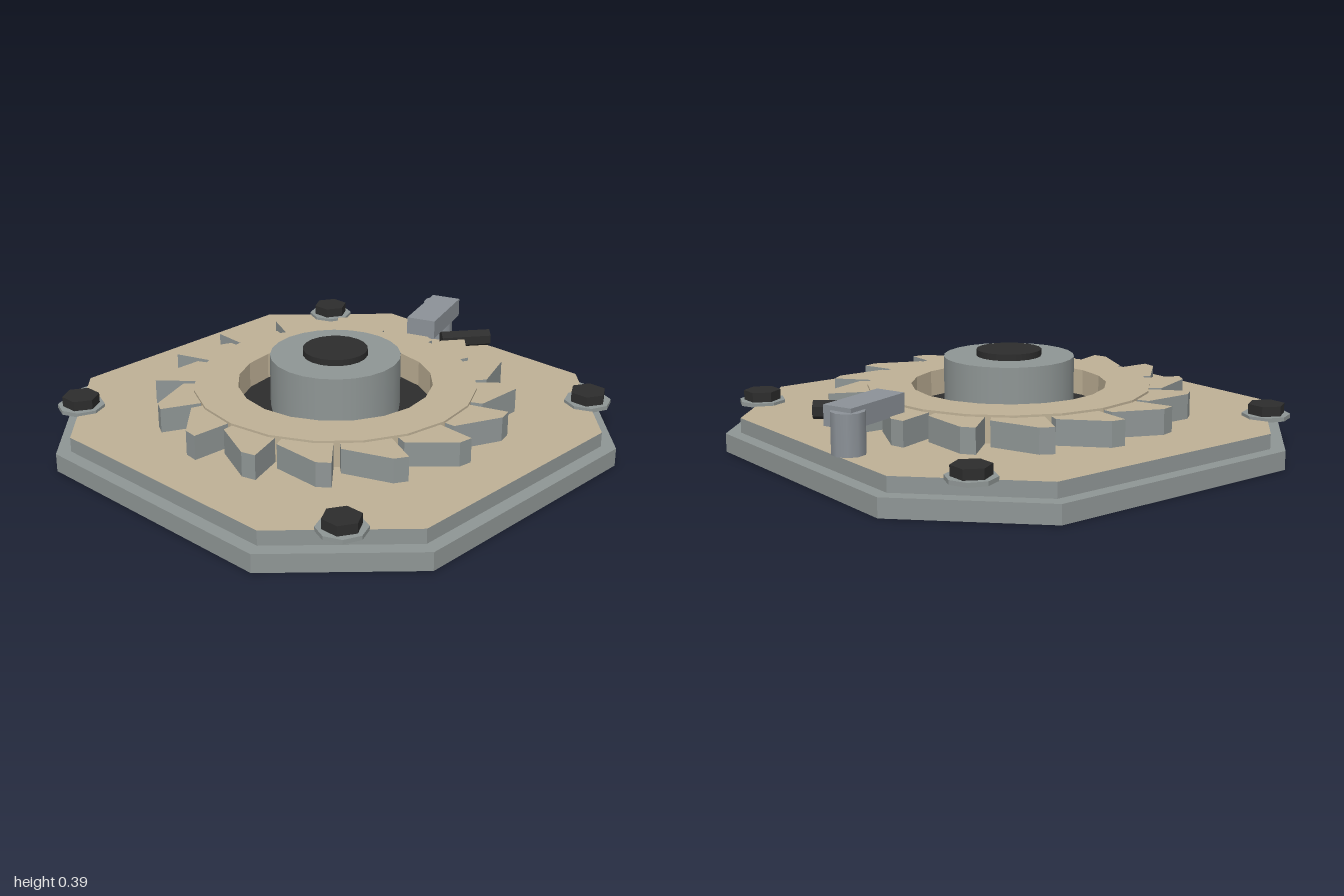
import * as THREE from 'three';

const material = (name, color) => {
  const m = new THREE.MeshStandardMaterial({ color });
  m.name = name;
  return m;
};

// Flat-sided polygon outline; points lie at (x, -z)
const ngon = (r, n) => Array.from({ length: n }, (_, i) => {
  const a = Math.PI / 2 + (i / n) * Math.PI * 2;
  return new THREE.Vector2(r * Math.cos(a), r * Math.sin(a));
});

// Square outline with cut corners
const cutSquare = (h, c) => [[h, -c], [h, c], [c, h], [-c, h], [-h, c], [-h, -c], [-c, -h], [c, -h]]
  .map(([x, y]) => new THREE.Vector2(x, y));

// Upright slab from an outline, between two heights
function slab(points, y0, y1, hole) {
  const shape = new THREE.Shape(points);
  if (hole) shape.holes.push(new THREE.Path(hole));
  return new THREE.ExtrudeGeometry(shape, { depth: y1 - y0, bevelEnabled: false })
    .rotateX(-Math.PI / 2).translate(0, y0, 0);
}

// Upright cylinder between two heights
const post = (r, n, y0, y1) =>
  new THREE.CylinderGeometry(r, r, y1 - y0, n).translate(0, (y0 + y1) / 2, 0);

function faceted(geometry) {
  const g = geometry.toNonIndexed();
  g.computeVertexNormals();
  return g;
}

export function createModel() {
  const model = new THREE.Group();
  model.name = 'ratchetPlate';

  const grey = material('steel grey', 0x8f9695);
  const blueGrey = material('pawl grey', 0x8c9298);
  const tan = material('sand tan', 0xbfb196);
  const dark = material('dark iron', 0x2d2d2d);

  const add = (name, geometry, mat, parent = model) => {
    const mesh = new THREE.Mesh(geometry, mat);
    mesh.name = name;
    parent.add(mesh);
    return mesh;
  };

  // Stepped base
  add('basePlate', slab(cutSquare(1, 0.555), 0, 0.075), grey);
  add('upperPlate', slab(cutSquare(0.945, 0.53), 0.075, 0.135), [tan, grey]);

  // Ratchet ring with sixteen separate teeth
  const wheel = new THREE.Group();
  wheel.name = 'ratchetWheel';
  model.add(wheel);
  add('ring', slab(ngon(0.577, 20), 0.135, 0.245, ngon(0.398, 20)), tan, wheel);
  const profile = [[0.55, 0.4], [0.735, 0], [0.732, -4.6], [0.62, -19.5], [0.55, -19.8]];
  const toothShape = profile.map(([r, deg]) => {
    const a = THREE.MathUtils.degToRad(deg);
    return new THREE.Vector2(r * Math.cos(a), r * Math.sin(a));
  }).reverse();
  const toothGeometry = slab(toothShape, 0.135, 0.236);
  for (let i = 0; i < 16; i++) {
    const tooth = add('tooth', toothGeometry, [tan, grey], wheel);
    tooth.rotation.y = THREE.MathUtils.degToRad(-2.3 + i * 22.5);
  }

  // Recess floor, central boss and cap
  add('recessFloor', post(0.396, 20, 0.13, 0.138), dark);
  add('boss', post(0.265, 24, 0.13, 0.36), grey);
  add('bossCap', post(0.132, 20, 0.36, 0.386), dark);

  // Corner bolts on washers
  for (const x of [-0.735, 0.735]) for (const z of [-0.735, 0.735]) {
    const bolt = new THREE.Group();
    bolt.name = 'cornerBolt';
    bolt.position.set(x, 0, z);
    add('washer', faceted(post(0.096, 8, 0.13, 0.147)), grey, bolt);
    add('boltHead', faceted(post(0.075, 6, 0.147, 0.187)), dark, bolt);
    model.add(bolt);
  }

  // Pawl arm on its pivot
  const pivot = add('pawlPivot', post(0.066, 10, 0.135, 0.295), blueGrey);
  pivot.position.set(0.89, 0, -0.2);
  const arm = add('pawlArm', new THREE.BoxGeometry(0.316, 0.08, 0.128), blueGrey);
  arm.position.set(0.778, 0.272, -0.134);
  arm.rotation.y = 0.335;

  // Spring rod beside the pawl
  const rod = add('springRod', faceted(new THREE.CylinderGeometry(0.037, 0.037, 0.215, 6)
    .rotateY(Math.PI / 2).rotateZ(Math.PI / 2)), dark);
  rod.position.set(0.755, 0.228, 0.068);
  rod.rotation.y = -0.66;

  return model;
}
